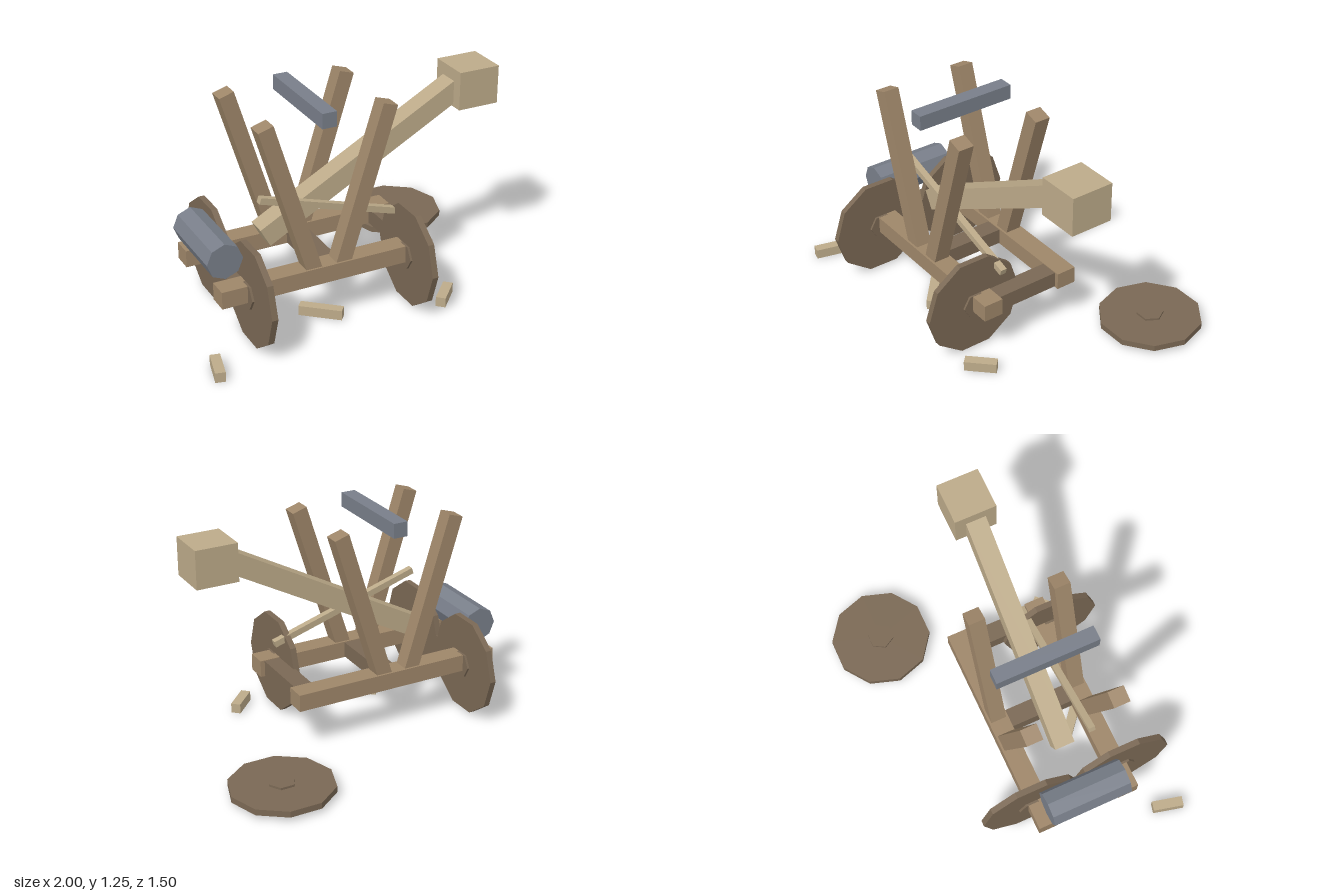
import * as THREE from 'three';

const material = (name, color) => {
  const m = new THREE.MeshStandardMaterial({ color, flatShading: true });
  m.name = name;
  return m;
};

export function createModel() {
  const model = new THREE.Group();
  model.name = 'brokenCatapult';
  const timber = material('timber brown', 0x9e8669);
  const paleWood = material('pale wood', 0xbcaa89);
  const darkWood = material('dark wood', 0x7a6854);
  const iron = material('iron grey', 0x787e89);

  const add = (name, geometry, mat, x, y, z, parent = model) => {
    const mesh = new THREE.Mesh(geometry, mat);
    mesh.name = name;
    mesh.position.set(x, y, z);
    parent.add(mesh);
    return mesh;
  };
  const box = (name, mat, [w, h, d], [x, y, z]) =>
    add(name, new THREE.BoxGeometry(w, h, d), mat, x, y, z);

  // Square beam between two points in a plane of constant z
  const beam = (name, mat, [x1, y1], [x2, y2], z, height, depth) => {
    const length = Math.hypot(x2 - x1, y2 - y1);
    const mesh = box(name, mat, [length, height, depth], [(x1 + x2) / 2, (y1 + y2) / 2, z]);
    mesh.rotation.z = Math.atan2(y2 - y1, x2 - x1);
    return mesh;
  };

  const midX = -0.21, midZ = 0.168;

  // Side rails, each with a splayed pair of uprights
  for (const z of [-0.08, 0.416]) {
    box('sideRail', timber, [1.27, 0.1, 0.118], [midX, 0.31, z]);
    for (const s of [-1, 1]) {
      beam('upright', timber, [midX + s * 0.075, 0.31], [midX + s * 0.36, 1.229], z, 0.09, 0.093);
    }
  }

  // Cross beams joining the rails
  for (const x of [-0.705, -0.18, 0.345]) {
    box('crossBeam', darkWood, [0.108, 0.092, 0.4], [x, 0.31, midZ]);
  }

  // Ten-sided wheels with hexagonal hubs, one of them lying on the ground
  const wheel = (name, x, y, z) => {
    const group = new THREE.Group();
    group.name = name;
    group.position.set(x, y, z);
    add('disc', new THREE.CylinderGeometry(0.296, 0.296, 0.035, 10), darkWood, 0, 0, 0, group);
    add('hub', new THREE.CylinderGeometry(0.077, 0.077, 0.06, 6), darkWood, 0, 0, 0, group);
    model.add(group);
    return group;
  };
  for (const [x, z] of [[-0.668, 0.454], [-0.668, -0.114], [0.285, 0.454]]) {
    wheel('wheel', x, 0.294, z).rotation.z = Math.PI / 2;
  }
  wheel('fallenWheel', 0.705, 0.043, -0.47).rotation.y = Math.PI / 2;

  // Throwing arm with its bucket, and a loose pole
  beam('throwingArm', paleWood, [-0.479, 0.473], [0.75, 1.143], 0.171, 0.12, 0.118);
  box('bucket', paleWood, [0.246, 0.222, 0.246], [0.802, 1.132, 0.171]);
  beam('loosePole', paleWood, [-0.546, 0.757], [0.361, 0.48], 0.305, 0.037, 0.038);

  // Iron counterweight drum and top bar
  add('counterweight', new THREE.CylinderGeometry(0.103, 0.103, 0.472, 8), iron, -0.79, 0.495, 0.165)
    .rotation.x = Math.PI / 2;
  box('topBar', iron, [0.085, 0.086, 0.595], [midX, 1.211, 0.166]);

  // Splintered planks on the ground: x, z, length, yaw
  for (const [x, z, length, yaw] of [
    [-0.953, 0.645, 0.178, 1.33], [0.476, 0.541, 0.18, 0.8], [-0.22, 0.382, 0.246, -0.7],
  ]) {
    box('plankDebris', paleWood, [length, 0.058, 0.056], [x, 0.029, z]).rotation.y = yaw;
  }

  return model;
}
